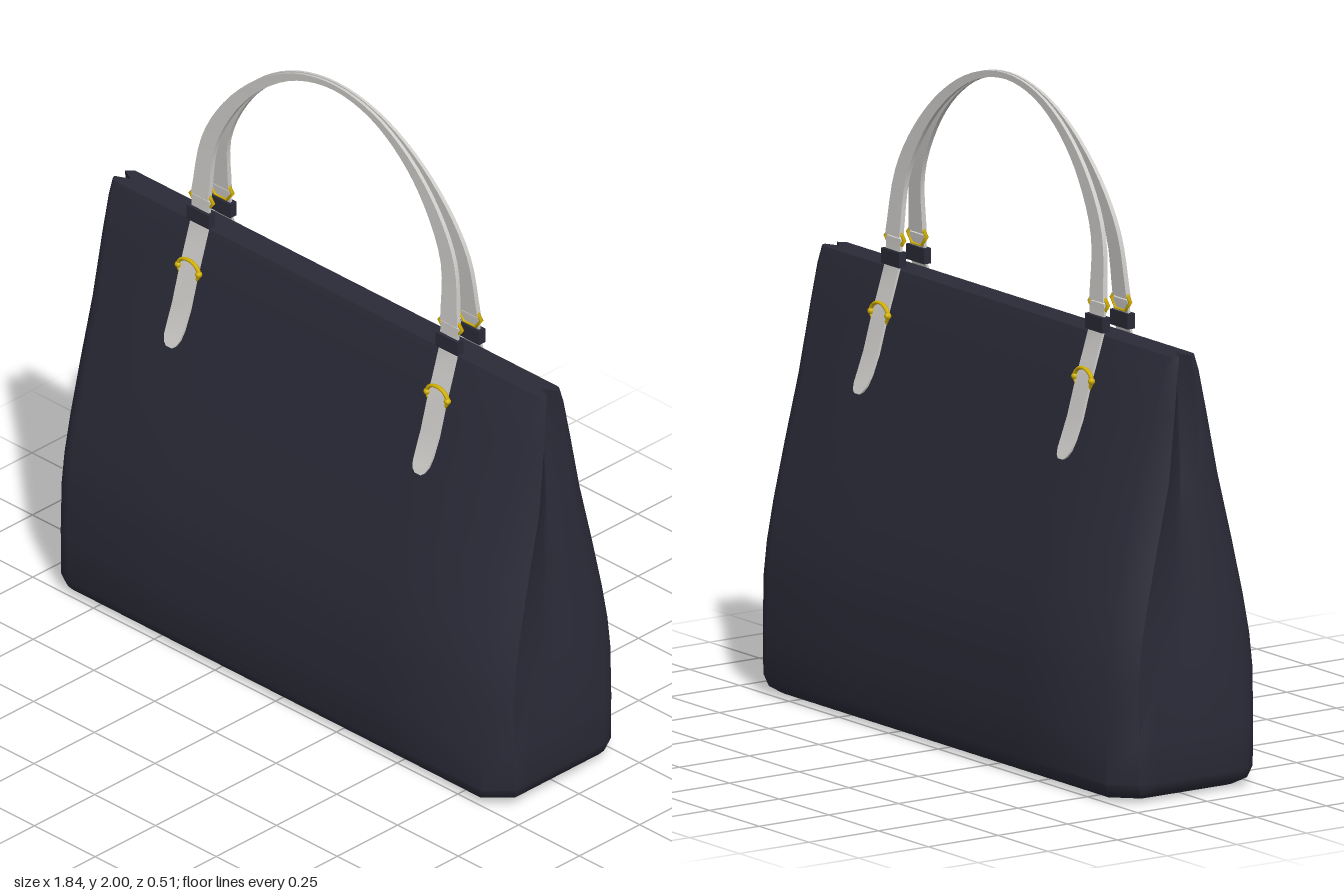
import * as THREE from 'three';
import { toCreasedNormals } from 'three/addons/utils/BufferGeometryUtils.js';

const navy = new THREE.MeshStandardMaterial({ color: 0x2a2b38 });
navy.name = 'navy leather';
const pale = new THREE.MeshStandardMaterial({ color: 0xcfcdca });
pale.name = 'pale grey strap';
const gold = new THREE.MeshStandardMaterial({ color: 0xd6b400 });
gold.name = 'gold metal';

const V = (x, y, z) => new THREE.Vector3(x, y, z);

// Skin a stack of equal-length rings (right-handed about the travel direction) and cap both ends
function loft(rings, crease) {
  const n = rings[0].length;
  const pos = [];
  const index = [];
  const centre = ring => ring.reduce((c, p) => c.add(p), V(0, 0, 0)).divideScalar(n);
  rings.flat().forEach(p => pos.push(p.x, p.y, p.z));
  [rings[0], rings.at(-1)].forEach(r => pos.push(...centre(r).toArray()));
  const last = (rings.length - 1) * n;
  for (let i = 0; i < n; i++) {
    const j = (i + 1) % n;
    for (let k = 0; k < last; k += n) {
      index.push(k + i, k + j, k + n + j, k + i, k + n + j, k + n + i);
    }
    index.push(last + n, j, i, last + n + 1, last + i, last + j);
  }
  const g = new THREE.BufferGeometry();
  g.setAttribute('position', new THREE.Float32BufferAttribute(pos, 3));
  g.setIndex(index);
  return toCreasedNormals(g, crease);
}

function add(parent, name, geometry, material) {
  const m = new THREE.Mesh(geometry, material);
  m.name = name;
  parent.add(m);
  return m;
}

// Rounded rectangle at height y; pinch folds the side gussets inward at z = 0
function bodyRing(y, hw, hd, pinch) {
  const r = Math.min(0.07, hd * 0.5);
  const half = [];
  for (let i = 0; i <= 6; i++) {
    const z = (hd - r) * (1 - i / 3);
    half.push([hw - pinch * (1 - Math.abs(z) / (hd - r)), z]);
  }
  for (let i = 1; i <= 5; i++) {
    const a = i / 5 * Math.PI / 2;
    half.push([hw - r + r * Math.cos(a), -(hd - r) - r * Math.sin(a)]);
  }
  for (let i = 1; i <= 4; i++) half.push([(hw - r) * (1 - i / 2), -hd]);
  for (let i = 1; i <= 4; i++) {
    const a = Math.PI / 2 + i / 5 * Math.PI / 2;
    half.push([-(hw - r) + r * Math.cos(a), -(hd - r) - r * Math.sin(a)]);
  }
  // the first seven points are one side; the opposite half is the same turned about y
  const pts = half.slice(0, 16);
  return [...pts, ...pts.map(([x, z]) => [-x, -z])].map(([x, z]) => V(x, y, z));
}

function bodyGeometry() {
  // height, half width, half depth, gusset pinch
  const rows = [
    [0.005, 0.84, 0.19, 0], [0.012, 0.885, 0.222, 0], [0.028, 0.91, 0.245, 0], [0.06, 0.92, 0.255, 0],
    [0.2, 0.92, 0.257, 0], [0.36, 0.917, 0.256, 0.003], [0.46, 0.915, 0.246, 0.012],
    [0.58, 0.913, 0.224, 0.022], [0.75, 0.91, 0.186, 0.032], [0.95, 0.906, 0.138, 0.04],
    [1.15, 0.9, 0.089, 0.045], [1.27, 0.894, 0.06, 0.045], [1.32, 0.89, 0.042, 0.045],
  ];
  return loft(rows.map(r => bodyRing(...r)), 0.8);
}

// Arched strap, broad at the ends and narrow at the crown
function handleGeometry() {
  const arch = half => new THREE.CatmullRomCurve3(
    [...half, ...half.slice(0, -1).reverse().map(([x, y, z]) => [-x, y, z])].map(p => V(...p)));
  const outer = arch([[0.548, 1.42, 0.042], [0.52, 1.615, 0.027], [0.44, 1.76, 0.018],
    [0.31, 1.89, 0.011], [0.16, 1.972, 0.007], [0, 2, 0.006]]);
  const inner = arch([[0.478, 1.42, 0.042], [0.465, 1.6, 0.027], [0.388, 1.755, 0.018],
    [0.283, 1.87, 0.011], [0.15, 1.952, 0.007], [0, 1.982, 0.006]]);
  const rings = [];
  for (let i = 0; i <= 40; i++) {
    const o = outer.getPoint(i / 40);
    const n = inner.getPoint(i / 40);
    const t = 0.004 + 0.004 * Math.abs(i / 20 - 1);
    rings.push([V(o.x, o.y, o.z + t), V(o.x, o.y, o.z - t), V(n.x, n.y, n.z - t), V(n.x, n.y, n.z + t)]);
  }
  return loft(rings, 0.7);
}

// Hanging strap end with a rounded tip that flares away from the bag
function tabGeometry() {
  const rows = [[0.963, 0.012, 0.174], [0.972, 0.024, 0.17], [0.99, 0.032, 0.161], [1.02, 0.035, 0.147],
    [1.08, 0.036, 0.124], [1.18, 0.036, 0.096], [1.26, 0.036, 0.07], [1.34, 0.036, 0.045], [1.415, 0.036, 0.042]];
  return loft(rows.map(([y, w, z]) =>
    [V(w, y, z + 0.004), V(w, y, z - 0.004), V(-w, y, z - 0.004), V(-w, y, z + 0.004)]), 0.7);
}

export function createModel() {
  const bag = new THREE.Group();
  bag.name = 'handbag';
  add(bag, 'body', bodyGeometry(), navy);

  const handle = handleGeometry();
  const tab = tabGeometry();
  const hexRing = new THREE.TorusGeometry(0.047, 0.006, 6, 6).scale(1, 0.72, 1);
  const arc = new THREE.TorusGeometry(0.043, 0.007, 6, 14, Math.PI).scale(1, 0.75, 1);
  const stud = new THREE.SphereGeometry(0.011, 8, 6);
  const keeper = new THREE.BoxGeometry(0.09, 0.046, 0.026);

  for (const side of ['front', 'back']) {
    const set = new THREE.Group();
    set.name = side + 'Handle';
    if (side === 'back') set.rotation.y = Math.PI;
    add(set, 'handleStrap', handle, pale);
    for (const x of [-0.512, 0.512]) {
      const fitting = new THREE.Group();
      fitting.name = 'strapFitting';
      fitting.position.x = x;
      add(fitting, 'strapEnd', tab, pale);
      add(fitting, 'strapKeeper', keeper, navy).position.set(0, 1.354, 0.045);
      add(fitting, 'hexagonalRing', hexRing, gold).position.set(0, 1.412, 0.04);
      add(fitting, 'buckleArc', arc, gold).position.set(0, 1.193, 0.096);
      for (const s of [-1, 1]) {
        add(fitting, 'buckleStud', stud, gold).position.set(s * 0.042, 1.193, 0.096);
        // short lower hooks of the buckle, tucked in beside the strap
        const hook = add(fitting, 'buckleHook', new THREE.CylinderGeometry(0.006, 0.006, 0.03, 6), gold);
        hook.position.set(s * 0.037, 1.178, 0.096);
        hook.rotation.z = -s * 0.6;
      }
      set.add(fitting);
    }
    bag.add(set);
  }
  return bag;
}
